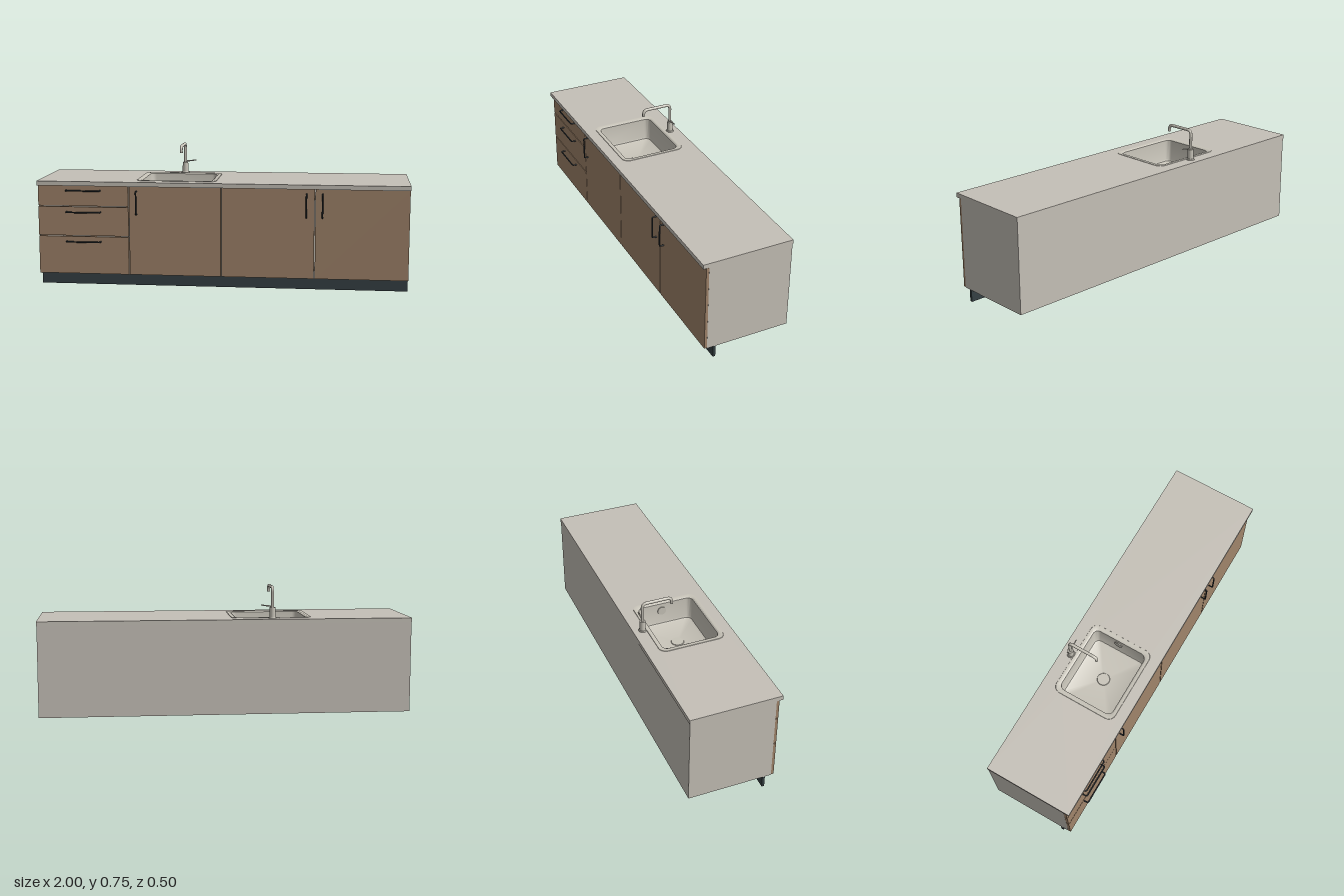
import * as THREE from 'three';
import { toCreasedNormals } from 'three/addons/utils/BufferGeometryUtils.js';

const material = (name, color, side = THREE.FrontSide) => {
  const m = new THREE.MeshStandardMaterial({ color, side });
  m.name = name;
  return m;
};

// Rounded rectangle outline, half sizes w and d, corner radius r
function outline(w, d, r, steps = 6) {
  const points = [];
  for (let corner = 0; corner < 4; corner++) {
    const sx = corner === 0 || corner === 3 ? 1 : -1;
    const sy = corner < 2 ? 1 : -1;
    for (let i = 0; i <= steps; i++) {
      const a = (corner + i / steps) * Math.PI / 2;
      points.push(new THREE.Vector2(sx * (w - r) + r * Math.cos(a), sy * (d - r) + r * Math.sin(a)));
    }
  }
  return points;
}

// Sink: rounded-rectangle rings from rim edge down to the middle of the floor
function sinkGeometry() {
  const rings = [ // half width, half depth, corner radius, height
    [0.217, 0.18, 0.04, 0.577], [0.216, 0.179, 0.04, 0.579], [0.198, 0.163, 0.032, 0.579],
    [0.19, 0.156, 0.03, 0.574], [0.186, 0.152, 0.03, 0.462], [0.182, 0.148, 0.028, 0.452],
    [0.172, 0.138, 0.024, 0.447], [0, 0, 0, 0.447],
  ];
  const positions = [], index = [];
  let n = 0;
  rings.forEach(([w, d, r, y], k) => {
    const points = outline(w, d, r);
    n = points.length;
    points.forEach((p) => positions.push(p.x, y, p.y));
    if (k === 0) return;
    for (let j = 0; j < n; j++) {
      const a = (k - 1) * n + j, b = (k - 1) * n + (j + 1) % n;
      index.push(a, a + n, b);
      if (k < rings.length - 1) index.push(b, a + n, b + n);
    }
  });
  const g = new THREE.BufferGeometry();
  g.setAttribute('position', new THREE.Float32BufferAttribute(positions, 3));
  g.setIndex(index);
  return toCreasedNormals(g, 0.6);
}

// Polyline with rounded corners
function roundedPath(points, r) {
  const path = new THREE.CurvePath();
  let from = points[0];
  for (let i = 1; i < points.length; i++) {
    const p = points[i];
    if (i === points.length - 1) {
      path.add(new THREE.LineCurve3(from, p));
      break;
    }
    const before = p.clone().add(points[i - 1].clone().sub(p).setLength(r));
    const after = p.clone().add(points[i + 1].clone().sub(p).setLength(r));
    path.add(new THREE.LineCurve3(from, before));
    path.add(new THREE.QuadraticBezierCurve3(before, p, after));
    from = after;
  }
  return path;
}

export function createModel() {
  const model = new THREE.Group();
  model.name = 'kitchenCounter';
  const stone = material('warm grey', 0xc5c0b7);
  const wood = material('wood brown', 0xa0846a);
  const plinthColor = material('dark slate', 0x364144);
  const black = material('handle black', 0x2a3136);
  const steel = material('brushed steel', 0xc8c4b9, THREE.DoubleSide);

  const add = (name, geometry, mat, x = 0, y = 0, z = 0, parent = model) => {
    const mesh = new THREE.Mesh(geometry, mat);
    mesh.name = name;
    mesh.position.set(x, y, z);
    parent.add(mesh);
    return mesh;
  };
  // Box given by its limits
  const box = (name, mat, x0, x1, y0, y1, z0, z1) => add(name,
    new THREE.BoxGeometry(x1 - x0, y1 - y0, z1 - z0), mat, (x0 + x1) / 2, (y0 + y1) / 2, (z0 + z1) / 2);

  // Worktop with the sink cut-out
  const top = new THREE.Shape([[-1, -0.24], [1, -0.24], [1, 0.25], [-1, 0.25]].map((p) => new THREE.Vector2(...p)));
  top.holes.push(new THREE.Path(outline(0.205, 0.169, 0.035).map((p) => p.add(new THREE.Vector2(-0.25, 0)))));
  const topGeometry = new THREE.ExtrudeGeometry(top, { depth: 0.024, bevelEnabled: false });
  add('worktop', topGeometry.rotateX(-Math.PI / 2), stone, 0, 0.553, 0);

  // Cabinet panels and plinth
  for (const x of [-0.99, -0.5, 0, 0.5, 0.99]) {
    box(Math.abs(x) > 0.9 ? 'sidePanel' : 'divider', stone, x - 0.008, x + 0.008, 0.066, 0.553, -0.247, 0.207);
  }
  box('backPanel', stone, -0.998, 0.998, 0.066, 0.553, -0.248, -0.238);
  box('bottomPanel', stone, -0.998, 0.998, 0.0655, 0.08, -0.2475, 0.207);
  box('plinth', plinthColor, -0.998, 0.998, 0, 0.065, 0.159, 0.173);

  // Drawer fronts and doors
  const gap = 0.0025;
  const front = (name, x0, x1, y0, y1) => box(name, wood, x0 + gap, x1 - gap, y0 + gap, y1 - gap, 0.207, 0.222);
  [[0.066, 0.276], [0.276, 0.439], [0.439, 0.553]].forEach(([y0, y1]) => front('drawerFront', -1, -0.5, y0, y1));
  for (const x of [-0.5, 0, 0.5]) front('door', x, x + 0.5, 0.066, 0.553);

  // Bar handles, bent back to the fronts
  const handle = (name, length, x, y, vertical) => {
    const h = length / 2 - 0.004;
    const points = [[-h, 0.221], [-h, 0.246], [h, 0.246], [h, 0.221]].map(([t, z]) => new THREE.Vector3(t, 0, z));
    const bar = add(name, new THREE.TubeGeometry(roundedPath(points, 0.008), 60, 0.004, 8), black, x, y, 0);
    if (vertical) bar.rotation.z = Math.PI / 2;
  };
  for (const y of [0.527, 0.409, 0.247]) handle('drawerHandle', 0.193, -0.748, y, false);
  for (const x of [-0.457, 0.455, 0.54]) handle('doorHandle', 0.133, x, 0.464, true);

  // Sink with drain and overflow
  add('sinkBowl', sinkGeometry(), steel, -0.25, 0, 0);
  add('drain', new THREE.CylinderGeometry(0.033, 0.035, 0.003, 32), steel, -0.25, 0.4485, 0);
  const overflow = add('overflow', new THREE.CylinderGeometry(0.024, 0.024, 0.005, 24), steel, -0.064, 0.53, -0.015);
  overflow.rotation.z = Math.PI / 2;

  // Tap
  const tap = new THREE.Group();
  tap.name = 'tap';
  tap.position.set(-0.25, 0.577, -0.198);
  model.add(tap);
  add('tapFlange', new THREE.CylinderGeometry(0.02, 0.022, 0.006, 32), steel, 0, 0.003, 0, tap);
  add('tapBody', new THREE.CylinderGeometry(0.0155, 0.0165, 0.054, 32), steel, 0, 0.032, 0, tap);
  const spout = [[0, 0.055], [0, 0.165], [0.162, 0.165], [0.162, 0.129]].map(([z, y]) => new THREE.Vector3(0, y, z));
  add('tapSpout', new THREE.TubeGeometry(roundedPath(spout, 0.025), 80, 0.0083, 16), steel, 0, 0, 0, tap);
  add('spoutOutlet', new THREE.CircleGeometry(0.0083, 16).rotateX(Math.PI / 2), steel, 0, 0.13, 0.162, tap);
  const lever = add('tapLever', new THREE.CylinderGeometry(0.003, 0.004, 0.058, 12), steel, 0.033, 0.068, 0, tap);
  lever.rotation.z = -Math.PI / 2 + 0.12;

  return model;
}
